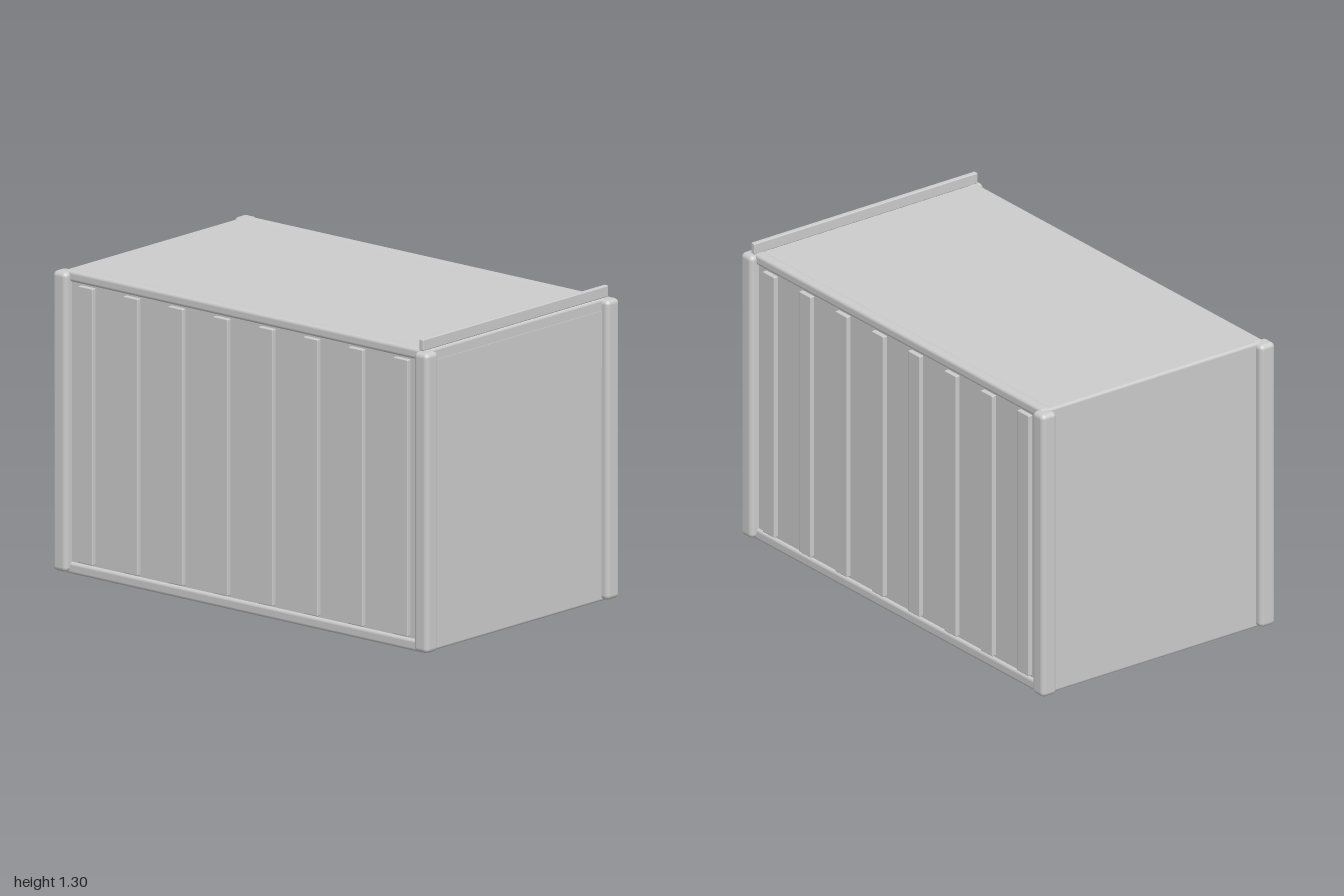
import * as THREE from 'three';
import { RoundedBoxGeometry } from 'three/addons/geometries/RoundedBoxGeometry.js';

const material = new THREE.MeshStandardMaterial({ color: 0xcccccc });

export function createModel() {
  const model = new THREE.Group();

  // Box given by its centre and size, with softly rounded edges
  function block(name, [x, y, z], [w, h, d], radius) {
    const geometry = radius
      ? new RoundedBoxGeometry(w, h, d, 3, radius)
      : new THREE.BoxGeometry(w, h, d);
    const mesh = new THREE.Mesh(geometry, material);
    mesh.name = name;
    mesh.position.set(x, y, z);
    model.add(mesh);
    return mesh;
  }

  // Closed body
  block('body', [0, 0.63, 0], [1.1, 1.256, 1.93], 0.012);

  // Header panel and roof-edge beam at the front
  block('headerPanel', [0, 1.09, 0.96], [1.03, 0.24, 0.016]);
  block('roofBeam', [0, 1.281, 0.948], [1.13, 0.048, 0.022], 0.005);

  for (const side of [-1, 1]) {
    const name = side > 0 ? 'left' : 'right';

    // Long rails along the roof and floor
    block(name + 'TopRail', [side * 0.537, 1.237, 0], [0.05, 0.046, 1.92], 0.014);
    block(name + 'BottomRail', [side * 0.537, 0.025, 0], [0.05, 0.05, 1.92], 0.014);

    // Vertical wall ribs, evenly spaced
    for (let i = 0; i < 8; i++) {
      const z = -0.84 + i * 0.24;
      block(name + 'Rib' + (i + 1), [side * 0.555, 0.632, z], [0.028, 1.15, 0.077], 0.004);
    }

    // Corner posts
    for (const end of [-1, 1]) {
      const post = end > 0 ? 'FrontPost' : 'BackPost';
      block(name + post, [side * 0.552, 0.632, end * 0.963], [0.076, 1.246, 0.074], 0.02);
    }
  }
  return model;
}
